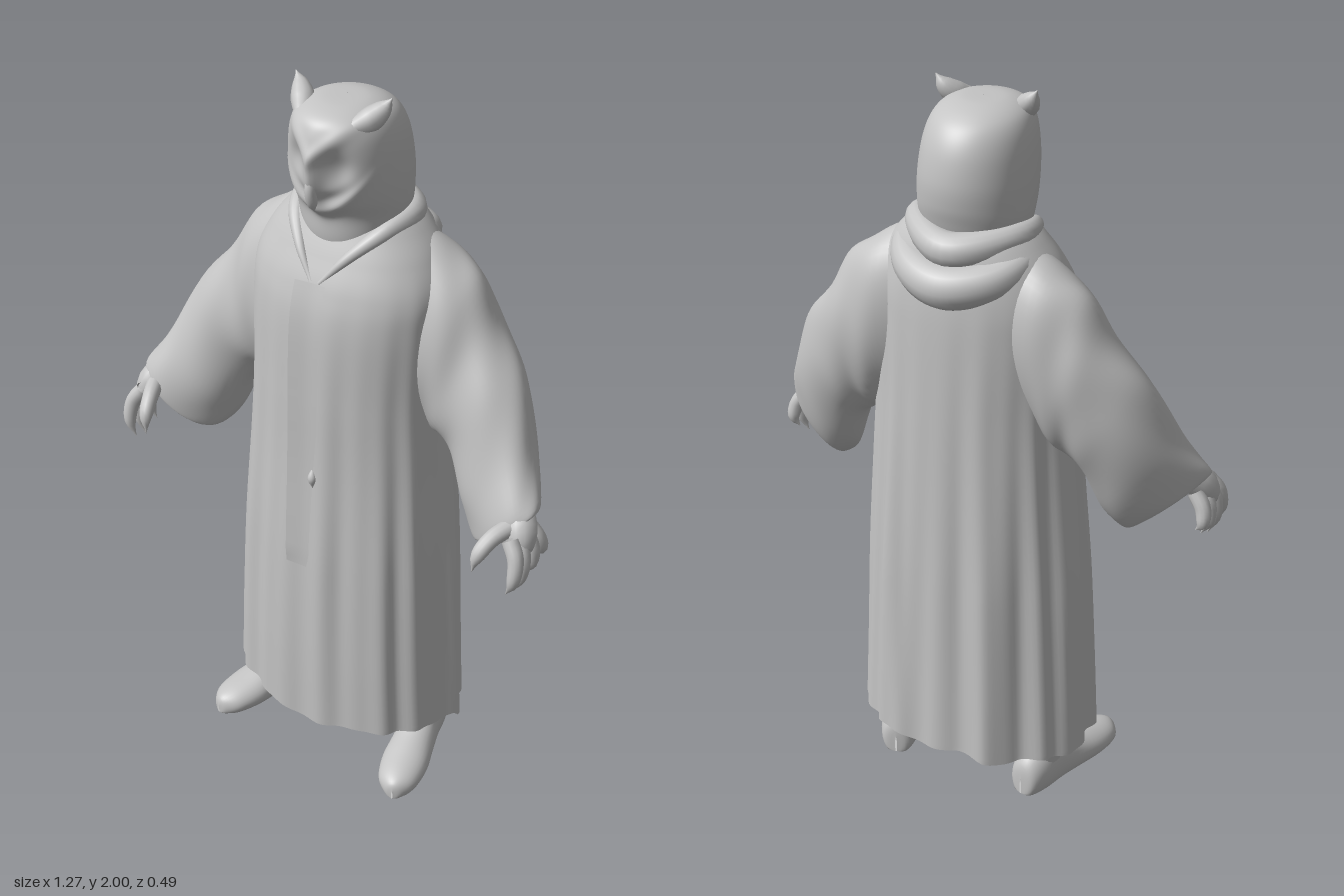
import * as THREE from 'three';

const cloth = new THREE.MeshStandardMaterial({ color: 0xc4c4c4, side: THREE.DoubleSide });
cloth.name = 'plainGrey';

const gauss = (...d) => Math.exp(-d.reduce((s, v) => s + v * v, 0));
const spow = (v, p) => Math.sign(v) * Math.abs(v) ** p;

// Smoothly interpolate a table of rows, t from 0 to 1
function spline(rows, t) {
  const f = Math.min(t, 0.99999) * (rows.length - 1), i = Math.floor(f), k = f - i;
  const at = (n) => rows[Math.max(0, Math.min(rows.length - 1, n))];
  const [a, b, c, d] = [at(i - 1), at(i), at(i + 1), at(i + 2)];
  return b.map((p, j) => p + 0.5 * k * (c[j] - a[j]
    + k * (2 * a[j] - 5 * p + 4 * c[j] - d[j] + k * (3 * (p - c[j]) + d[j] - a[j]))));
}

// Skin closed rings: point(t, angle) returns [x, y, z]
function loft(name, nRows, nSeg, point) {
  const pos = [], idx = [];
  for (let r = 0; r <= nRows; r++) {
    for (let j = 0; j < nSeg; j++) {
      pos.push(...point(r / nRows, (j / nSeg) * Math.PI * 2));
      if (r === nRows) continue;
      const a = r * nSeg + j, c = r * nSeg + (j + 1) % nSeg;
      idx.push(a, a + nSeg, c, c, a + nSeg, c + nSeg);
    }
  }
  const g = new THREE.BufferGeometry();
  g.setAttribute('position', new THREE.Float32BufferAttribute(pos, 3));
  g.setIndex(idx);
  g.computeVertexNormals();
  const m = new THREE.Mesh(g, cloth);
  m.name = name;
  return m;
}

// Tube with varying radius; points are [x, y, z, radius]
function taper(name, pts, nRows = 14, nSeg = 12) {
  const curve = new THREE.CatmullRomCurve3(pts.map((p) => new THREE.Vector3(p[0], p[1], p[2])));
  const fr = curve.computeFrenetFrames(nRows);
  return loft(name, nRows, nSeg, (t, a) => {
    const i = Math.round(t * nRows);
    const r = Math.max(0.001, spline(pts.map((p) => [p[3]]), curve.getUtoTmapping(t))[0]);
    return curve.getPointAt(t)
      .addScaledVector(fr.normals[i], r * Math.cos(a))
      .addScaledVector(fr.binormals[i], -r * Math.sin(a)).toArray();
  });
}

// Robe: height, half width, front z, back z
const robeRows = [
  [0.16, 0.34, 0.238, -0.235], [0.4, 0.326, 0.238, -0.232], [0.7, 0.308, 0.23, -0.228],
  [1.0, 0.285, 0.212, -0.22], [1.2, 0.272, 0.204, -0.214], [1.4, 0.272, 0.192, -0.206],
  [1.5, 0.268, 0.17, -0.198], [1.58, 0.235, 0.135, -0.185], [1.64, 0.19, 0.105, -0.168],
  [1.69, 0.14, 0.08, -0.14],
];
function robePoint(t, a, scale = 1) {
  let [y, hw, zf, zb] = spline(robeRows, t);
  const depth = Math.max(0, Math.min(1, (1.58 - y) / 0.9));
  const fold = 0.5 * Math.cos(13 * a + 0.6) + 0.35 * Math.cos(21 * a + 1.2 + y) + 0.3 * Math.cos(7 * a + y * 1.5);
  const k = scale * (1 + (Math.sin(a) < 0 ? 0.045 : 0.036) * depth * fold);
  const x = hw * k * spow(Math.cos(a), 0.93);
  let z = (zf + zb) / 2 + ((zf - zb) / 2) * k * spow(Math.sin(a), 0.93);
  const low = Math.max(0, 1 - (y - 0.16) / 0.25);
  // Two deep pleats swing out at the back hem
  if (z < 0) z -= scale * 0.02 * depth * Math.max(0, 1 - y / 1.2) * gauss((Math.abs(x) - 0.145) / 0.035);
  y -= low * (z > 0 ? 0.02 * gauss(x / 0.13) : 0.006 * (1 + Math.cos(9 * a)));
  return [x, y, z];
}

function robe() {
  const g = new THREE.Group();
  g.name = 'robe';
  g.add(loft('robeBody', 90, 160, (t, a) => robePoint(t, a)));
  // Cloth gathered under the hem, sagging at the front and behind the heels
  g.add(loft('hemUnderside', 24, 160, (t, a) => {
    const [x, edge, z] = robePoint(0, a, 0.01 + 0.99 * t);
    const sag = 0.062 * gauss(x / 0.15, (z - 0.15) / 0.07) + 0.028 * gauss((z + 0.16) / 0.04, x / 0.2);
    return [x, 0.17 + (edge - 0.17) * t ** 3 - sag * Math.min(1, (1 - t) * 6), z];
  }));
  // Front flap with a free edge, laid over the chest
  const flap = new THREE.PlaneGeometry(0.085, 0.84, 6, 40);
  const p = flap.attributes.position;
  for (let i = 0; i < p.count; i++) {
    const x = p.getX(i) - 0.008, y = p.getY(i) + 1.1;
    let lo = 0, hi = 1;
    for (let n = 0; n < 20; n++) {
      const mid = (lo + hi) / 2;
      if (spline(robeRows, mid)[0] < y) lo = mid; else hi = mid;
    }
    const lift = 0.002 + 0.008 * Math.max(0, -x / 0.05);
    p.setXYZ(i, x, y, robePoint(lo, Math.PI / 2)[2] + lift * Math.min(1, (y - 0.64) / 0.08));
  }
  flap.computeVertexNormals();
  const flapMesh = new THREE.Mesh(flap, cloth);
  flapMesh.name = 'frontFlap';
  g.add(flapMesh);
  g.add(taper('clasp', [[0.022, 1.0, 0.208, 0.002], [0.024, 0.97, 0.214, 0.012], [0.026, 0.94, 0.214, 0.002]]));
  return g;
}

// Hood fallen behind the neck, as two rolls
function hood() {
  const g = new THREE.Group();
  g.name = 'hood';
  const both = (half, mid) => [...half, mid, ...half.slice().reverse().map(([x, ...r]) => [-x, ...r])];
  g.add(taper('collarRoll', both([[-0.012, 1.52, 0.158, 0.006], [-0.07, 1.59, 0.122, 0.014],
    [-0.13, 1.65, 0.045, 0.024], [-0.138, 1.662, -0.06, 0.034]], [0, 1.635, -0.16, 0.046]), 60, 16));
  g.add(taper('hoodDrape', both([[-0.165, 1.63, 0.0, 0.014], [-0.16, 1.605, -0.08, 0.036],
    [-0.105, 1.57, -0.15, 0.05]], [0, 1.55, -0.187, 0.058]), 50, 16));
  return g;
}

// Head: height, half width, front z, back z
const headRows = [
  [1.52, 0.11, 0.095, -0.11], [1.62, 0.13, 0.116, -0.13], [1.69, 0.146, 0.122, -0.15],
  [1.74, 0.149, 0.148, -0.162], [1.8, 0.147, 0.166, -0.165], [1.87, 0.139, 0.173, -0.152],
  [1.92, 0.125, 0.165, -0.125], [1.95, 0.102, 0.142, -0.085], [1.967, 0.06, 0.09, -0.035],
  [1.97, 0.001, 0.021, 0.019],
];
function head() {
  const g = new THREE.Group();
  g.name = 'head';
  g.add(loft('skull', 80, 120, (t, a) => {
    const [y, hw, zf, zb] = spline(headRows, t);
    const x = hw * Math.cos(a), s = Math.sin(a), ax = Math.abs(x);
    let z = (zf + zb) / 2 + ((zf - zb) / 2) * s;
    if (s > 0) {
      // Eye hollows, beak ridge, lower rim of the face and brow slopes
      z += Math.min(1, s * 2) * (-0.024 * gauss((ax - 0.06) / 0.034, (y - 1.835) / 0.05)
        + 0.02 * gauss(x / 0.022, (y - 1.8) / 0.07)
        + 0.012 * gauss((y - 1.71 - 7 * x * x) / 0.018, x / 0.1)
        - 0.006 * gauss((y - 1.75 - 5 * x * x) / 0.016, (ax - 0.04) / 0.04)
        + 0.01 * gauss((y - 1.86 - 0.9 * ax) / 0.025, x / 0.1));
    }
    return [x, y, z];
  }));
  g.add(taper('beak', [[0, 1.83, 0.168, 0.006], [0, 1.78, 0.173, 0.014], [0, 1.74, 0.165, 0.013], [0, 1.715, 0.157, 0.001]]));
  return g;
}

// Sleeve: upper edge xyz, lower edge xyz, half depth
const sleeveRows = [
  [0.08, 1.655, -0.04, 0.12, 1.2, -0.03, 0.11], [0.225, 1.612, -0.06, 0.21, 1.13, -0.03, 0.126],
  [0.318, 1.545, -0.06, 0.255, 1.09, -0.03, 0.122], [0.387, 1.44, -0.055, 0.29, 1.08, -0.03, 0.115],
  [0.477, 1.32, -0.03, 0.325, 1.04, -0.02, 0.112],
  [0.555, 1.16, 0.025, 0.37, 0.935, 0.0, 0.105], [0.612, 1.048, 0.085, 0.415, 0.868, 0.03, 0.085],
  [0.595, 1.035, 0.085, 0.44, 0.89, 0.04, 0.068], [0.53, 1.1, 0.04, 0.43, 0.98, 0.02, 0.05],
  [0.49, 1.1, 0.02, 0.48, 1.09, 0.02, 0.004],
];
function arm() {
  const g = new THREE.Group();
  g.add(loft('sleeve', 60, 48, (t, a) => {
    const [tx, ty, tz, bx, by, bz, hz] = spline(sleeveRows, t);
    const k = 1 + 0.03 * Math.sin(t * 30 + 2 * Math.sin(a)) * Math.cos(3 * a);
    const c = (Math.cos(a) * k + 1) / 2;
    return [bx + (tx - bx) * c, by + (ty - by) * c, bz + (tz - bz) * c - hz * k * Math.sin(a)];
  }));
  g.add(taper('hand', [[0.5, 1.09, 0.04, 0.03], [0.56, 1.03, 0.08, 0.036], [0.59, 0.985, 0.115, 0.042],
    [0.6, 0.94, 0.13, 0.028], [0.602, 0.925, 0.132, 0.002]]));
  // Clawed fingers, spread from back to front
  [[0.075, 0.055, 0.885], [0.1, 0.1, 0.85], [0.135, 0.15, 0.825], [0.16, 0.19, 0.84]].forEach(([z0, z1, tip]) =>
    g.add(taper('finger', [[0.585, 0.985, z0, 0.022], [0.612, 0.945, (z0 + z1) / 2, 0.021],
      [0.616, (0.93 + tip) / 2, z1, 0.016], [0.598, tip, z1, 0.001]])));
  g.add(taper('thumb', [[0.57, 1.0, 0.12, 0.024], [0.545, 0.985, 0.18, 0.022], [0.53, 0.95, 0.22, 0.018], [0.522, 0.905, 0.232, 0.001]]));
  return g;
}

// Shoe: z, half width, height
const shoeRows = [
  [-0.142, 0.003, 0.05], [-0.132, 0.04, 0.1], [-0.08, 0.056, 0.14], [-0.01, 0.056, 0.135], [0.06, 0.06, 0.1],
  [0.14, 0.066, 0.08], [0.21, 0.054, 0.064], [0.245, 0.026, 0.048], [0.254, 0.002, 0.025],
];
function leg() {
  const g = new THREE.Group();
  g.add(loft('shoe', 40, 32, (t, a) => {
    const [z, hw, h] = spline(shoeRows, t);
    return [hw * Math.cos(a), Math.max(0, h * (0.4 - 0.6 * Math.sin(a))), z];
  }));
  const shin = new THREE.Mesh(new THREE.CylinderGeometry(0.07, 0.054, 0.1, 24), cloth);
  shin.name = 'shin';
  shin.position.set(0, 0.14, -0.05);
  g.add(shin);
  g.position.set(0.238, 0, 0);
  g.rotation.y = 0.27;
  return g;
}

export function createModel() {
  const model = new THREE.Group();
  model.name = 'robedOwlFigure';
  model.add(robe(), hood(), head());
  // Mirrored limbs and ear tufts
  for (const [side, s] of [['left', 1], ['right', -1]]) {
    const half = new THREE.Group();
    half.name = side + 'Side';
    const a = arm(), l = leg();
    a.name = side + 'Arm';
    l.name = side + 'Leg';
    half.add(a, l, taper(side + 'EarTuft', [[0.04, 1.905, 0.14, 0.004], [0.068, 1.928, 0.108, 0.018],
      [0.096, 1.945, 0.065, 0.03], [0.12, 1.972, 0.042, 0.021], [0.138, 1.999, 0.035, 0.001]], 20));
    half.scale.x = s;
    model.add(half);
  }
  return model;
}
